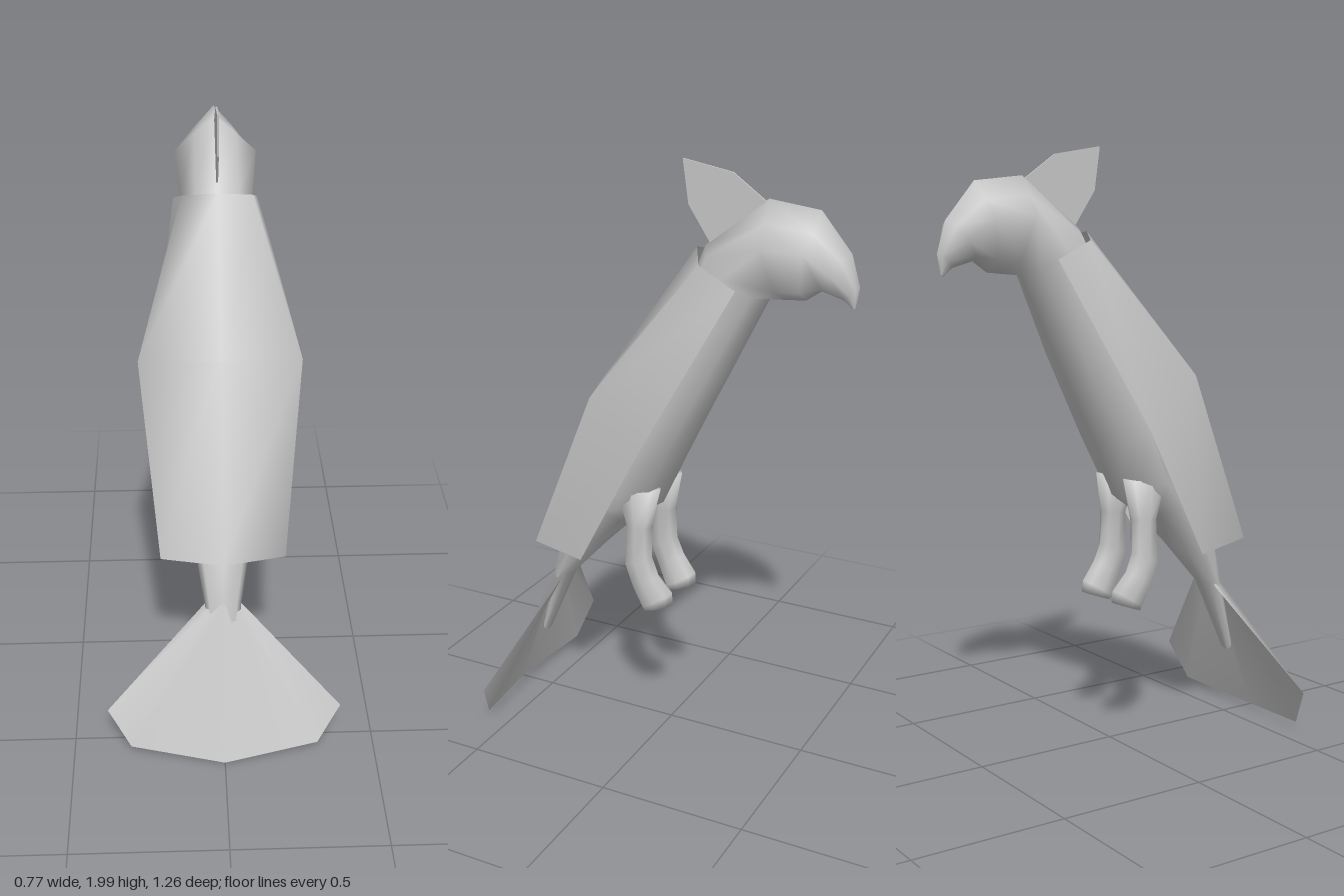
import * as THREE from 'three';

const plumage = new THREE.MeshStandardMaterial({ color: 0xc8c8c8, side: THREE.DoubleSide });
plumage.name = 'plumage grey';

// Joins rows of points into one smooth surface; closed rows make a tube with capped ends.
function surface(name, rows, closed) {
  const n = rows[0].length;
  const index = [];
  for (let r = 0; r < rows.length - 1; r++) {
    for (let i = 0; i < (closed ? n : n - 1); i++) {
      const a = r * n + i, b = r * n + (i + 1) % n;
      index.push(a, a + n, b, b, a + n, b + n);
    }
  }
  if (closed) {
    const last = (rows.length - 1) * n;
    for (let i = 1; i < n - 1; i++) {
      index.push(0, i, i + 1);
      index.push(last, last + i + 1, last + i);
    }
  }
  const geometry = new THREE.BufferGeometry();
  geometry.setAttribute('position', new THREE.Float32BufferAttribute(rows.flat(2), 3));
  geometry.setIndex(index);
  geometry.computeVertexNormals();
  const mesh = new THREE.Mesh(geometry, plumage);
  mesh.name = name;
  return mesh;
}

// Eight-sided ring between a back point and a belly point, given as [z, y].
// roof sets how full the back half is; waist places the widest point.
function ring(back, belly, width, { x = 0, roof = 0.75, waist = 0.5 } = {}) {
  const at = (side, t) => [
    x + side * width,
    THREE.MathUtils.lerp(back[1], belly[1], t),
    THREE.MathUtils.lerp(back[0], belly[0], t),
  ];
  const upper = waist * 0.3, lower = 1 - (1 - waist) * 0.25;
  const t = roof < 0.6 ? waist * 0.5 : upper;
  return [at(0, 0), at(roof, t), at(1, waist), at(0.7, lower),
    at(0, 1), at(-0.7, lower), at(-1, waist), at(-roof, t)];
}

// Mirrors half rows (centre outwards) into full rows from -x to +x.
function mirrorRow(half) {
  const left = half.slice(1).reverse().map(([x, y, z]) => [-x, y, z]);
  return [...left, ...half];
}

export function createModel() {
  const model = new THREE.Group();
  model.name = 'perchedBird';

  // Beak, head, body and tail root in one loft
  const head = { roof: 0.52, waist: 0.42 };
  model.add(surface('headAndBody', [
    ring([-0.62, 1.595], [-0.61, 1.59], 0.004),
    ring([-0.63, 1.66], [-0.58, 1.615], 0.025),
    ring([-0.6, 1.76], [-0.51, 1.635], 0.065),
    ring([-0.5, 1.88], [-0.46, 1.6], 0.105, head),
    ring([-0.33, 1.9], [-0.4, 1.595], 0.135, head),
    ring([-0.12, 1.74], [-0.34, 1.59], 0.118, { roof: 0.6 }),
    ring([0.0, 1.45], [-0.2, 1.31], 0.165),
    ring([0.12, 1.16], [-0.055, 1.03], 0.18),
    ring([0.23, 0.97], [0.03, 0.84], 0.15),
    ring([0.3, 0.86], [0.13, 0.77], 0.12),
    ring([0.41, 0.7], [0.25, 0.65], 0.09),
    ring([0.45, 0.53], [0.39, 0.5], 0.06),
    ring([0.515, 0.28], [0.505, 0.24], 0.03),
  ], true));

  // Folded wings lying over the back
  model.add(surface('foldedWings', [
    [[0, 1.73, -0.09], [0.115, 1.7, -0.15], [0.14, 1.64, -0.285]],
    [[0, 1.3, 0.22], [0.26, 1.27, 0.16], [0.225, 1.09, 0.01]],
    [[0, 0.7, 0.47], [0.2, 0.695, 0.42], [0.19, 0.655, 0.25]],
  ].map(mirrorRow), false));

  // Spread tail fan
  model.add(surface('tailFan', [
    [[0, 0.53, 0.452], [0.03, 0.52, 0.44], [0.06, 0.5, 0.405]],
    [[0, 0.01, 0.63], [0.31, 0.04, 0.575], [0.385, 0.17, 0.54]],
  ].map(mirrorRow), false));

  // Thin crest, drawn in (z, y) and turned onto the centre plane
  const crestShape = new THREE.Shape([
    [0.04, 2.0], [0.21, 1.97], [0.33, 1.885], [0.14, 1.74], [0.06, 1.86],
  ].map(([u, v]) => new THREE.Vector2(u, v)));
  const crestGeometry = new THREE.ExtrudeGeometry(crestShape, { depth: 0.006, bevelEnabled: false });
  crestGeometry.translate(0, 0, -0.003);
  crestGeometry.rotateY(Math.PI / 2);
  const crest = new THREE.Mesh(crestGeometry, plumage);
  crest.name = 'crest';
  model.add(crest);

  // Legs with forward-pointing feet
  for (const side of [1, -1]) {
    const leg = (back, belly, x, width) => ring(back, belly, width, { x: side * x });
    model.add(surface(side > 0 ? 'leftLeg' : 'rightLeg', [
      leg([0.17, 0.9], [0.0, 0.92], 0.08, 0.05),
      leg([0.12, 0.78], [0.03, 0.78], 0.09, 0.04),
      leg([0.13, 0.63], [0.025, 0.67], 0.095, 0.033),
      leg([0.1, 0.55], [0.0, 0.61], 0.097, 0.032),
      leg([0.068, 0.48], [-0.048, 0.55], 0.09, 0.038),
      leg([0.06, 0.47], [-0.05, 0.51], 0.09, 0.036),
    ], true));
  }

  return model;
}
